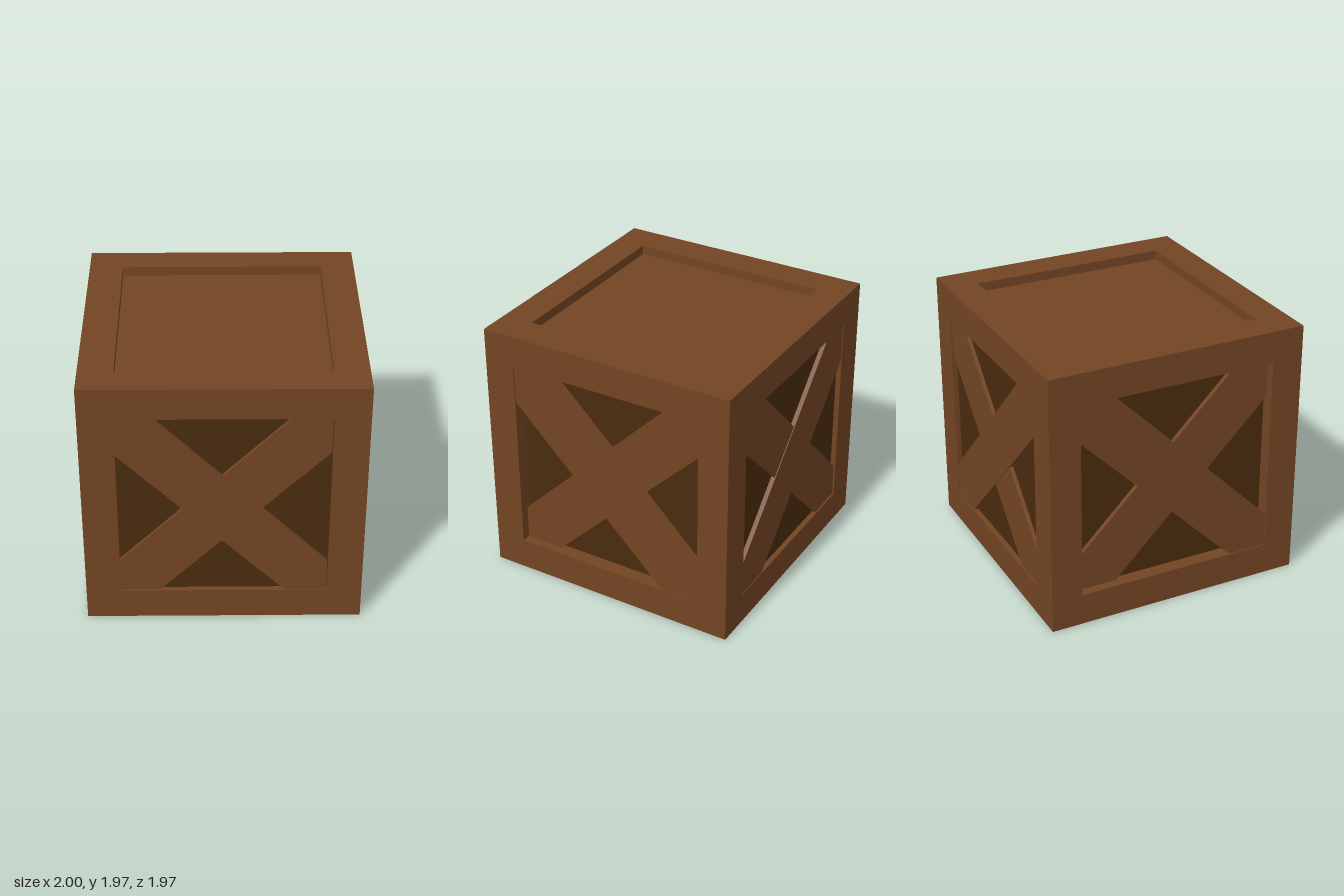
import * as THREE from 'three';

const W = 2, H = 1.97, D = 1.97;          // overall size
const BX = 0.25, BY = 0.24, BZ = 0.235;   // beam thickness along each axis

export function createModel() {
  const crate = new THREE.Group();
  crate.name = 'crate';

  const wood = new THREE.MeshStandardMaterial({ color: 0x734523 });
  wood.name = 'brown wood';
  const darkWood = new THREE.MeshStandardMaterial({ color: 0x4a2b0e });
  darkWood.name = 'dark wood';

  const box = (name, material, w, h, d, x, y, z) => {
    const mesh = new THREE.Mesh(new THREE.BoxGeometry(w, h, d), material);
    mesh.name = name;
    mesh.position.set(x, y, z);
    crate.add(mesh);
  };

  // Frame: four posts with rails fitted between them
  const px = (W - BX) / 2, pz = (D - BZ) / 2;
  for (const a of [-1, 1]) {
    for (const b of [-1, 1]) {
      const railY = b > 0 ? H - BY / 2 : BY / 2;
      box('cornerPost', wood, BX, H, BZ, a * px, H / 2, b * pz);
      box('widthRail', wood, W - 2 * BX, BY, BZ, 0, railY, a * pz);
      box('depthRail', wood, BX, BY, D - 2 * BZ, a * px, railY, 0);
    }
  }

  // Recessed walls, lid and floor
  box('wallPanels', darkWood, 1.79, 1.6, 1.89, 0, H / 2, 0);
  box('lidPanel', wood, 1.6, 0.12, 1.6, 0, H - 0.13, 0);
  box('floorPanel', wood, 1.6, 0.12, 1.6, 0, 0.13, 0);

  // Diagonal plank cut to fit the opening; dir 1 falls to the right, -1 rises
  const plankGeometry = (dir, depth) => {
    const a = 0.755, b = 0.755, w = 0.278;
    const points = [[-a, b], [w - b, b], [a, w - a], [a, -b], [b - w, -b], [-a, a - w]];
    const shape = new THREE.Shape(points.map(([u, v]) => new THREE.Vector2(dir * u, v)));
    return new THREE.ExtrudeGeometry(shape, { depth, bevelEnabled: false });
  };

  // Each side: distance from centre, turn, upper plank direction, recesses, wall depth
  const sides = [
    ['front', D / 2, 0, 1, 0.006, 0.012, 0.04, -0.012],
    ['left', W / 2, Math.PI / 2, 1, 0.008, 0.07, 0.105, 0],
    ['back', D / 2, Math.PI, -1, 0.006, 0.012, 0.04, 0],
    ['right', W / 2, -Math.PI / 2, 1, 0.008, 0.07, 0.105, 0],
  ];
  for (const [name, dist, turn, dir, upper, lower, wall, shift] of sides) {
    const brace = new THREE.Group();
    brace.name = name + 'CrossBrace';
    brace.rotation.y = turn;
    [[dir, upper, 'upperPlank'], [-dir, lower, 'lowerPlank']].forEach(([d, recess, part]) => {
      const depth = wall + 0.01 - recess;
      const plank = new THREE.Mesh(plankGeometry(d, depth), wood);
      plank.name = part;
      plank.position.set(shift, 0.97, dist - recess - depth);
      brace.add(plank);
    });
    crate.add(brace);
  }
  return crate;
}
